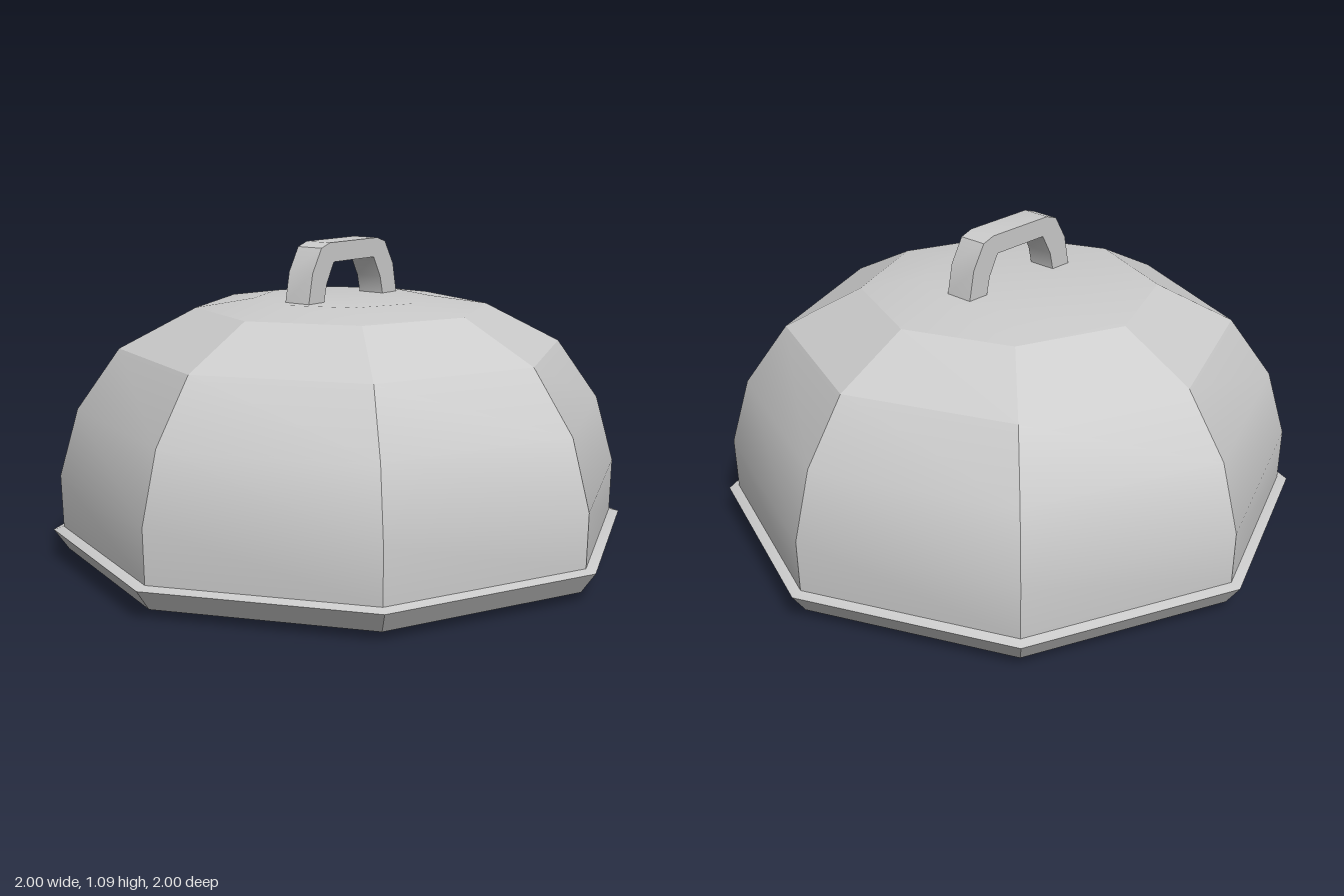
import * as THREE from 'three';
import { toCreasedNormals } from 'three/addons/utils/BufferGeometryUtils.js';

const SIDES = 8;
const material = new THREE.MeshStandardMaterial({ color: 0xcccccc });

function part(name, geometry, crease) {
  const mesh = new THREE.Mesh(toCreasedNormals(geometry, crease), material);
  mesh.name = name;
  return mesh;
}

// Octagonal solid of revolution; profile runs bottom to top as [radius, y]
function octagonLathe(profile) {
  return new THREE.LatheGeometry(profile.map(([r, y]) => new THREE.Vector2(r, y)), SIDES);
}

export function createModel() {
  const group = new THREE.Group();
  group.name = 'coveredDish';

  // Shallow plate with a flared edge and a narrow rim
  group.add(part('plate', octagonLathe([
    [0, 0], [0.65, 0], [0.95, 0.03], [1, 0.1], [0.965, 0.11],
  ]), 0.33));

  // Faceted dome cover
  group.add(part('dome', octagonLathe([
    [0.965, 0.11], [0.97, 0.29], [0.905, 0.52], [0.76, 0.725],
    [0.5, 0.86], [0.3, 0.89], [0, 0.89],
  ]), 0.33));

  // Arched handle: half outline as [z, y], mirrored and extruded across x
  const outer = [[0.245, 0.88], [0.242, 0.89], [0.222, 0.99], [0.175, 1.07], [0.13, 1.085]];
  const inner = [[0.11, 1.02], [0.148, 0.95], [0.162, 0.89], [0.162, 0.88]];
  const mirror = (pts) => pts.map(([z, y]) => [-z, y]).reverse();
  const outline = [...outer, ...mirror(outer), ...mirror(inner), ...inner];
  const shape = new THREE.Shape(outline.map(([z, y]) => new THREE.Vector2(z, y)));
  const width = 0.1;
  const handle = new THREE.ExtrudeGeometry(shape, { depth: width, bevelEnabled: false });
  handle.translate(0, 0, -width / 2).rotateY(Math.PI / 2);
  group.add(part('handle', handle, 0.6));

  return group;
}
